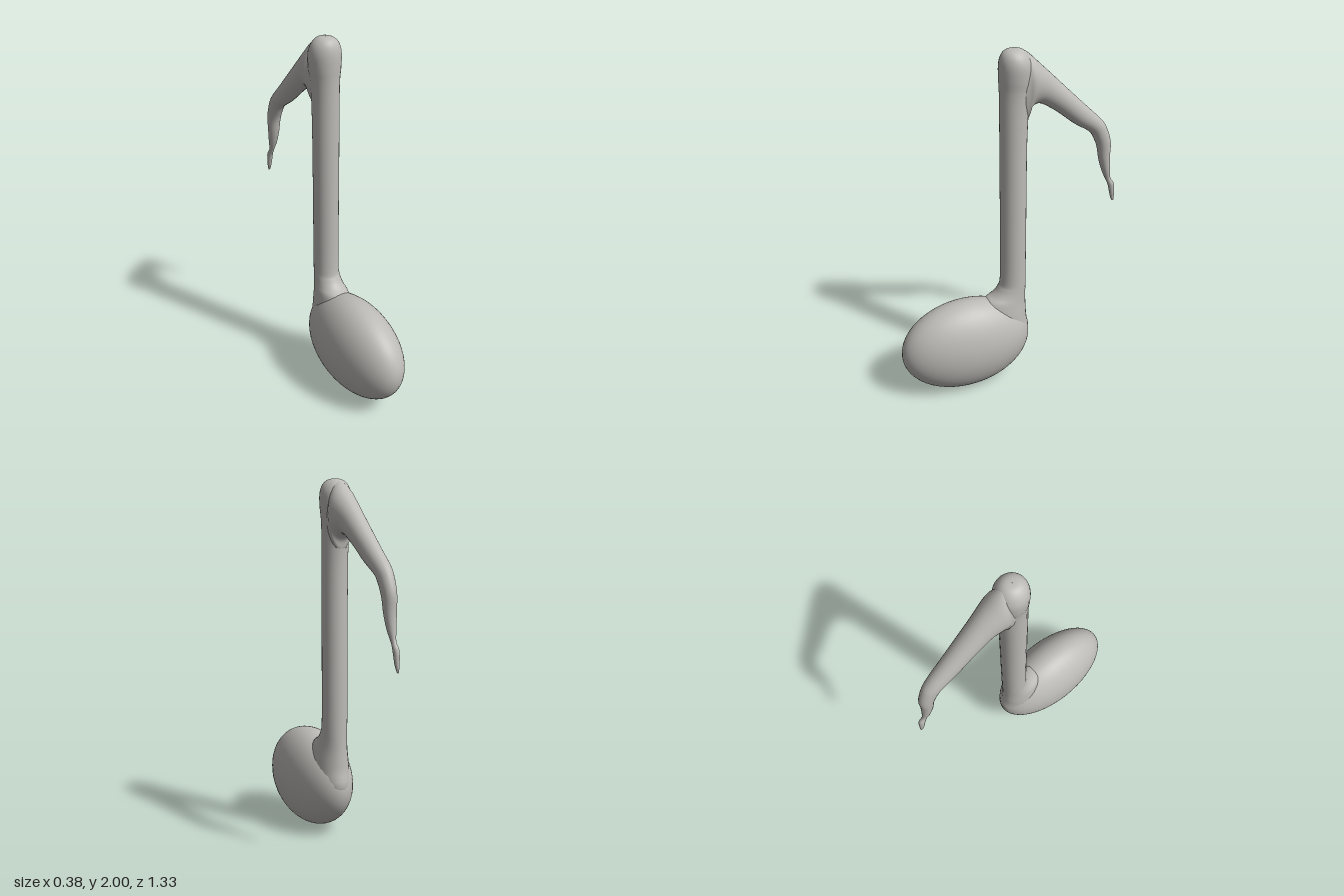
import * as THREE from 'three';

// Lofts a smooth closed tube through rows of [zA, yA, zB, yB, halfWidth];
// A and B are opposite edges of each elliptical cross-section.
function loft(rows, steps, sides = 28) {
  const a = new THREE.SplineCurve(rows.map(r => new THREE.Vector2(r[0], r[1])));
  const b = new THREE.SplineCurve(rows.map(r => new THREE.Vector2(r[2], r[3])));
  const w = new THREE.SplineCurve(rows.map(r => new THREE.Vector2(r[4], 0)));
  const n = (rows.length - 1) * steps;
  const pos = [], idx = [];
  for (let i = 0; i <= n; i++) {
    const p = a.getPoint(i / n), q = b.getPoint(i / n);
    const half = Math.max(w.getPoint(i / n).x, 0.001);
    for (let j = 0; j < sides; j++) {
      const t = (j / sides) * Math.PI * 2, c = Math.cos(t) / 2;
      pos.push(half * Math.sin(t), (p.y + q.y) / 2 + (p.y - q.y) * c, (p.x + q.x) / 2 + (p.x - q.x) * c);
      if (i < n) {
        const k = i * sides + j, l = i * sides + (j + 1) % sides;
        idx.push(k, l, k + sides, l, l + sides, k + sides);
      }
    }
  }
  const g = new THREE.BufferGeometry();
  g.setAttribute('position', new THREE.Float32BufferAttribute(pos, 3));
  g.setIndex(idx);
  g.computeVertexNormals();
  return g;
}

export function createModel() {
  const model = new THREE.Group();
  const grey = new THREE.MeshStandardMaterial({ color: 0xbdbbb7 });
  grey.name = 'warm grey';

  const add = (name, geometry) => {
    const mesh = new THREE.Mesh(geometry, grey);
    mesh.name = name;
    model.add(mesh);
    return mesh;
  };

  // Flattened oval note head
  const head = add('noteHead', new THREE.SphereGeometry(1, 48, 32));
  head.scale.set(0.188, 0.285, 0.39);
  head.position.set(0, 0.285, 0.273);

  // Stem, flared into the head at the foot and rounded at the top
  add('stem', loft([
    [0.12, 0.16, 0.02, 0.16, 0.03],
    [0.16, 0.28, -0.112, 0.28, 0.09],
    [0.18, 0.42, -0.104, 0.40, 0.1],
    [0.16, 0.53, -0.099, 0.50, 0.088],
    [0.105, 0.567, -0.098, 0.56, 0.078],
    [0.068, 0.61, -0.098, 0.61, 0.073],
    [0.052, 0.68, -0.098, 0.68, 0.071],
    [0.05, 1.0, -0.098, 1.0, 0.071],
    [0.05, 1.5, -0.098, 1.5, 0.072],
    [0.051, 1.75, -0.11, 1.75, 0.074],
    [0.054, 1.84, -0.12, 1.84, 0.084],
    [0.054, 1.91, -0.12, 1.91, 0.087],
    [0.046, 1.955, -0.105, 1.955, 0.076],
    [0.03, 1.983, -0.085, 1.983, 0.055],
    [0.005, 1.997, -0.06, 1.997, 0.03],
    [-0.025, 2.0, -0.027, 2.0, 0.001],
  ], 4));

  // Flag sweeping back, bending down and thinning to a ragged tip
  add('flag', loft([
    [-0.02, 1.9, -0.02, 1.8, 0.01],
    [-0.03, 1.99, -0.05, 1.62, 0.06],
    [-0.075, 1.988, -0.097, 1.62, 0.075],
    [-0.115, 1.962, -0.108, 1.67, 0.084],
    [-0.165, 1.915, -0.135, 1.697, 0.08],
    [-0.24, 1.845, -0.18, 1.695, 0.069],
    [-0.34, 1.75, -0.27, 1.64, 0.061],
    [-0.45, 1.647, -0.38, 1.555, 0.053],
    [-0.54, 1.563, -0.475, 1.495, 0.046],
    [-0.58, 1.51, -0.51, 1.445, 0.042],
    [-0.612, 1.42, -0.533, 1.39, 0.038],
    [-0.614, 1.33, -0.55, 1.31, 0.033],
    [-0.62, 1.25, -0.575, 1.235, 0.024],
    [-0.63, 1.19, -0.602, 1.18, 0.013],
    [-0.655, 1.15, -0.62, 1.14, 0.016],
    [-0.661, 1.09, -0.634, 1.085, 0.013],
    [-0.662, 1.045, -0.645, 1.05, 0.006],
    [-0.658, 1.037, -0.657, 1.037, 0.001],
  ], 4));

  return model;
}
